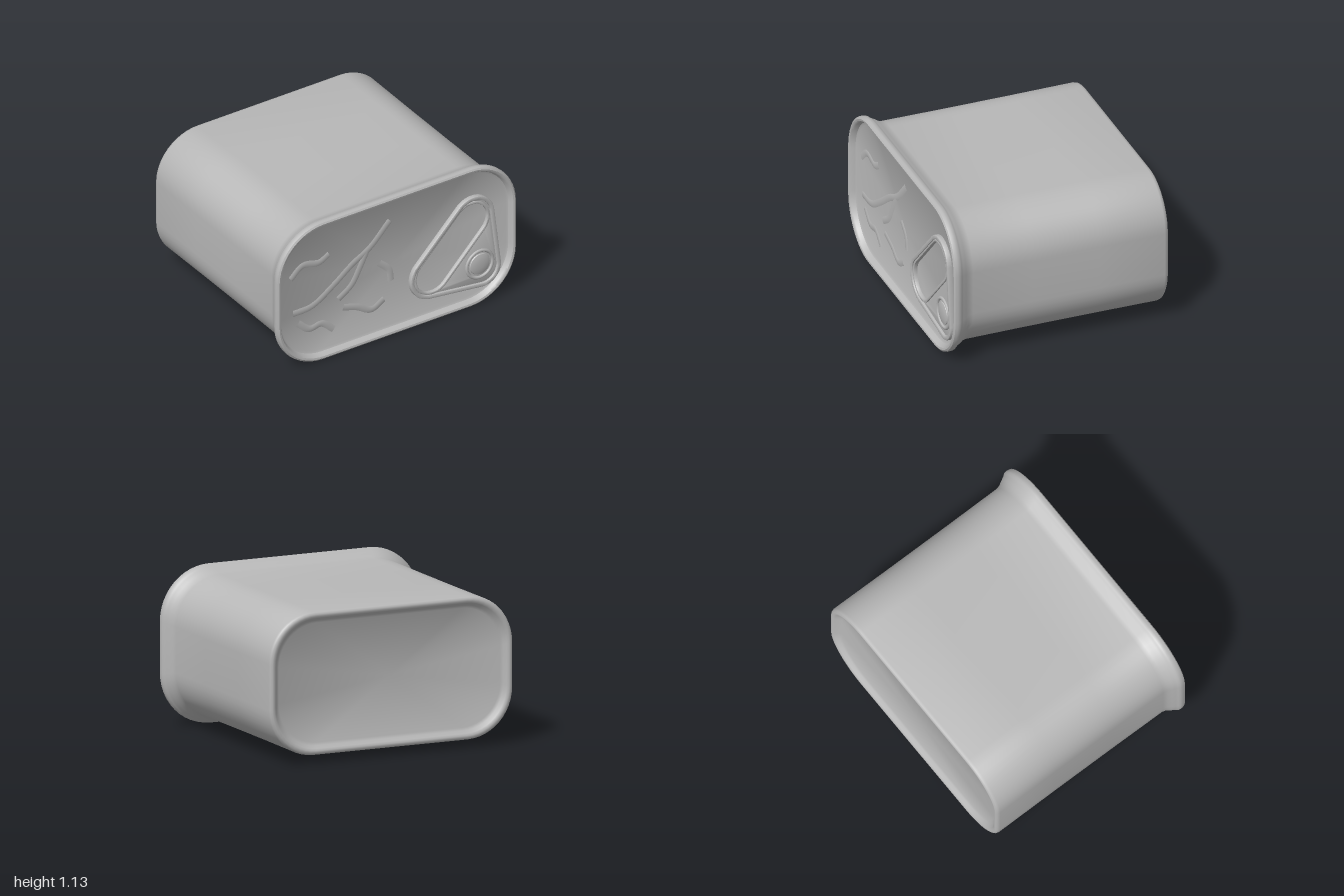
import * as THREE from 'three';
import { toCreasedNormals } from 'three/addons/utils/BufferGeometryUtils.js';

const CENTER_Y = 0.567;
const metal = new THREE.MeshStandardMaterial({ color: 0xb8b8b8 });
metal.name = 'tin grey';

function part(name, geometry, crease = 0.6) {
  const mesh = new THREE.Mesh(toCreasedNormals(geometry, crease), metal);
  mesh.name = name;
  return mesh;
}

// Rounded rectangle, counter-clockwise, shrunk by an inset
function ring(inset, z, steps = 12) {
  const hw = 1 - inset, hh = 0.565 - inset, r = 0.38 - inset * 0.6;
  const points = [];
  [[1, 1], [-1, 1], [-1, -1], [1, -1]].forEach(([sx, sy], q) => {
    for (let i = 0; i <= steps; i++) {
      const a = (q + i / steps) * Math.PI / 2;
      points.push([sx * (hw - r) + r * Math.cos(a), CENTER_Y + sy * (hh - r) + r * Math.sin(a), z]);
    }
  });
  return points;
}

// Skin a list of [inset, z] steps running from the front panel to the back panel
function loft(profile) {
  const rings = profile.map(([inset, z]) => ring(inset, z));
  const n = rings[0].length, pos = [];
  const front = [0, CENTER_Y, profile[0][1]];
  const back = [0, CENTER_Y, profile[profile.length - 1][1]];
  for (let k = 0; k < n; k++) {
    const m = (k + 1) % n;
    pos.push(...front, ...rings[0][k], ...rings[0][m]);
    for (let j = 0; j + 1 < rings.length; j++) {
      const a = rings[j], b = rings[j + 1];
      pos.push(...a[k], ...b[k], ...b[m], ...a[k], ...b[m], ...a[m]);
    }
    const last = rings[rings.length - 1];
    pos.push(...back, ...last[m], ...last[k]);
  }
  const g = new THREE.BufferGeometry();
  g.setAttribute('position', new THREE.Float32BufferAttribute(pos, 3));
  return g;
}

// Outline wrapped round circles [x, y, r] given counter-clockwise, grown by an offset
function hull(circles, grow = 0) {
  const n = circles.length;
  const normals = circles.map(([x, y, r], i) => {
    const [x2, y2, r2] = circles[(i + 1) % n];
    return Math.atan2(y2 - y, x2 - x) - Math.acos((r - r2) / Math.hypot(x2 - x, y2 - y));
  });
  const shape = new THREE.Shape();
  circles.forEach(([x, y, r], i) => {
    shape.absarc(x, y, r + grow, normals[(i + n - 1) % n], normals[i], false);
  });
  return shape;
}

function plate(outline, holes, z, depth, bevel = 0.007) {
  outline.holes = holes;
  const g = new THREE.ExtrudeGeometry(outline, {
    depth: depth - bevel, curveSegments: 20, bevelEnabled: true,
    bevelSize: bevel, bevelOffset: -bevel, bevelThickness: bevel, bevelSegments: 2,
  });
  return g.translate(0, 0, z);
}

export function createModel() {
  const can = new THREE.Group();
  can.name = 'tinCan';

  // Can wall with rolled front seam, flared neck and recessed end panels
  can.add(part('canBody', loft([
    [0.06, 0.76], [0.045, 0.768], [0.037, 0.795], [0.028, 0.808], [0.015, 0.811],
    [0.004, 0.803], [0, 0.785], [0.002, 0.762], [0.012, 0.75], [0.02, 0.735],
    [0.032, 0.71], [0.047, 0.685], [0.055, 0.65],
    [0.057, 0.2], [0.057, -0.3], [0.055, -0.79],
    [0.06, -0.808], [0.072, -0.818], [0.088, -0.818], [0.102, -0.808],
    [0.12, -0.788], [0.14, -0.778],
  ]), 0.7));

  // Pull tab: flat plate, raised border and an oval finger opening
  const tab = new THREE.Group();
  tab.name = 'pullTab';
  const corners = [[0.735, 0.27, 0.145], [0.65, 0.71, 0.175], [0.305, 0.355, 0.178]];
  const oval = [[0.635, 0.69, 0.14], [0.315, 0.36, 0.14]];
  tab.add(part('tabPlate', plate(hull(corners, -0.012), [hull(oval)], 0.755, 0.022)));
  tab.add(part('tabBorder', plate(hull(corners), [hull(corners, -0.03)], 0.755, 0.04)));
  tab.add(part('openingBorder', plate(hull(oval, 0.016), [hull(oval, -0.004)], 0.755, 0.032, 0.005)));

  // Rivet: round bead and low domed button
  const bead = new THREE.TorusGeometry(0.108, 0.013, 8, 40);
  bead.translate(0.71, 0.31, 0.776);
  tab.add(part('rivetBead', bead, 1.2));
  const dome = new THREE.LatheGeometry([
    [0.085, 0], [0.08, 0.01], [0.06, 0.016], [0.03, 0.019], [0, 0.02],
  ].map(([x, y]) => new THREE.Vector2(x, y)), 32);
  dome.rotateX(Math.PI / 2).translate(0.71, 0.31, 0.774);
  tab.add(part('rivetButton', dome, 0.8));
  can.add(tab);

  // Shallow embossed sprig on the lid
  const strokes = [
    [[-0.84, 0.43], [-0.68, 0.44], [-0.5, 0.55], [-0.34, 0.67], [-0.2, 0.75], [-0.03, 0.92]],
    [[-0.22, 0.74], [-0.28, 0.62], [-0.35, 0.5], [-0.46, 0.42]],
    [[-0.86, 0.72], [-0.76, 0.8], [-0.62, 0.78], [-0.54, 0.82]],
    [[-0.8, 0.34], [-0.7, 0.26], [-0.6, 0.27], [-0.5, 0.19]],
    [[-0.42, 0.34], [-0.3, 0.3], [-0.18, 0.24], [-0.08, 0.29]],
    [[-0.12, 0.6], [-0.04, 0.52], [-0.02, 0.42]],
  ];
  strokes.forEach((points) => {
    const curve = new THREE.CatmullRomCurve3(points.map(([x, y]) => new THREE.Vector3(x, y, 0)));
    const ridge = new THREE.TubeGeometry(curve, 24, 0.028, 10);
    // Taper the stroke by flattening it into the panel
    ridge.scale(1, 1, 0.25).translate(0, 0, 0.7575);
    can.add(part('lidEmboss', ridge, 1.2));
  });

  return can;
}
